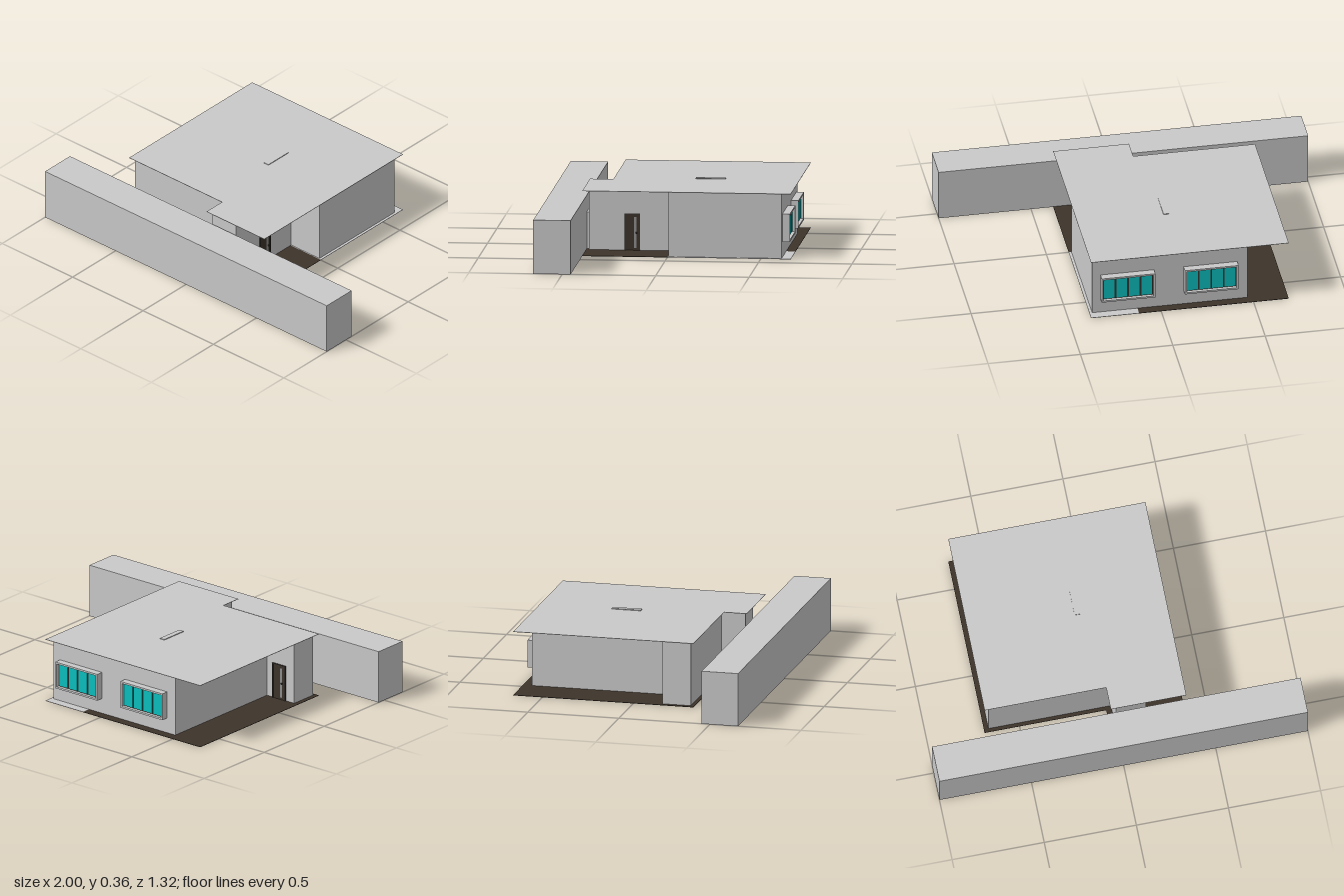
import * as THREE from 'three';

export function createModel() {
  const model = new THREE.Group();
  const mat = (name, color) => {
    const m = new THREE.MeshStandardMaterial({ color });
    m.name = name;
    return m;
  };
  const plaster = mat('plaster grey', 0xcacaca);
  const brown = mat('dark brown', 0x3d342b);
  const frameDark = mat('frame charcoal', 0x38342f);
  const glass = mat('turquoise glass', 0x0cc0c0);
  const frosted = mat('frosted grey glass', 0x8f8f8f);

  // Box given by its low and high corners
  const box = (parent, name, m, [x0, y0, z0], [x1, y1, z1]) => {
    const g = new THREE.BoxGeometry(x1 - x0, y1 - y0, z1 - z0);
    g.translate((x0 + x1) / 2, (y0 + y1) / 2, (z0 + z1) / 2);
    const mesh = new THREE.Mesh(g, m);
    mesh.name = name;
    parent.add(mesh);
    return mesh;
  };

  // Floor plan of [x, z] corners raised from y0 to y1
  const plan = (name, m, points, y0, y1) => {
    const shape = new THREE.Shape(points.map(([x, z]) => new THREE.Vector2(x, -z)));
    const g = new THREE.ExtrudeGeometry(shape, { depth: y1 - y0, bevelEnabled: false });
    g.rotateX(-Math.PI / 2);
    g.translate(0, y0, 0);
    const mesh = new THREE.Mesh(g, m);
    mesh.name = name;
    model.add(mesh);
  };

  // Long block along the front
  box(model, 'frontBlock', plaster, [-1, 0, 0.455], [1, 0.29, 0.655]);

  // Stepped house walls
  plan('walls', plaster, [
    [-0.477, -0.61], [0.365, -0.61], [0.365, -0.005], [0.165, -0.005], [0.165, 0.44],
    [0, 0.44], [0, 0.31], [-0.665, 0.31], [-0.665, 0.155], [-0.477, 0.155],
  ], 0.002, 0.35);

  // Thin overhanging roof with a low skylight
  plan('roof', plaster, [
    [-0.69, -0.66], [0.38, -0.66], [0.38, 0.455], [-0.03, 0.455], [-0.03, 0.33], [-0.69, 0.33],
  ], 0.35, 0.352);
  box(model, 'skylight', plaster, [-0.115, 0.351, -0.265], [-0.085, 0.356, -0.105]);

  // Floor: brown paving with a grey slab in the back corner
  plan('paving', brown, [
    [-0.69, -0.66], [0.12, -0.66], [0.12, 0], [0.38, 0], [0.38, 0.455],
    [-0.03, 0.455], [-0.03, 0.33], [-0.69, 0.33],
  ], 0, 0.002);
  box(model, 'greySlab', plaster, [0.12, 0, -0.66], [0.38, 0.002, 0]);

  // Low panel on the front of the entry
  box(model, 'entryPanel', plaster, [0.03, 0.002, 0.44], [0.135, 0.2, 0.455]);

  // Door built facing +z, centred on x, standing on y = 0
  const addDoor = (name, width, x, z, turn) => {
    const door = new THREE.Group();
    door.name = name;
    const w = width / 2, h = 0.2;
    box(door, 'doorLeaf', brown, [-w, 0.002, 0], [w, h, 0.004]);
    for (const s of [-1, 1]) {
      const a = s * w, b = s * (w - 0.006);
      box(door, 'doorJamb', frameDark, [Math.min(a, b), 0.002, 0], [Math.max(a, b), h, 0.008]);
    }
    box(door, 'doorHead', frameDark, [-w, h - 0.006, 0], [w, h, 0.008]);
    box(door, 'doorGlass', frosted, [0.008, 0.015, 0.004], [0.022, 0.182, 0.006]);
    box(door, 'doorHandle', frameDark, [0.018, 0.092, 0.004], [0.024, 0.1, 0.013]);
    door.position.set(x, 0, z);
    door.rotation.y = turn;
    model.add(door);
  };
  addDoor('entryDoor', 0.082, 0.165, 0.208, Math.PI / 2);
  addDoor('sideDoor', 0.09, -0.563, 0.155, Math.PI);

  // Back windows: four panes in a projecting surround
  const addWindow = (x0, x1) => {
    const win = new THREE.Group();
    win.name = 'backWindow';
    const y0 = 0.085, y1 = 0.235, zw = -0.61, zf = -0.65, t = 0.01;
    box(win, 'windowHood', plaster, [x0, y1 - t, zf], [x1, y1, zw]);
    box(win, 'windowSill', plaster, [x0, y0, zf], [x1, y0 + t, zw]);
    box(win, 'windowCheek', plaster, [x0, y0 + t, zf], [x0 + t, y1 - t, zw]);
    box(win, 'windowCheek', plaster, [x1 - t, y0 + t, zf], [x1, y1 - t, zw]);
    box(win, 'windowFrame', frameDark, [x0 + t, y0 + t, -0.632], [x1 - t, y1 - t, zw]);
    const step = (x1 - x0 - 2 * t) / 4;
    for (let i = 0; i < 4; i++) {
      const a = x0 + t + i * step;
      box(win, 'windowPane', glass, [a + 0.005, y0 + t + 0.005, -0.636], [a + step - 0.005, y1 - t - 0.005, -0.632]);
    }
    model.add(win);
  };
  addWindow(0.03, 0.32);
  addWindow(-0.42, -0.13);

  return model;
}
